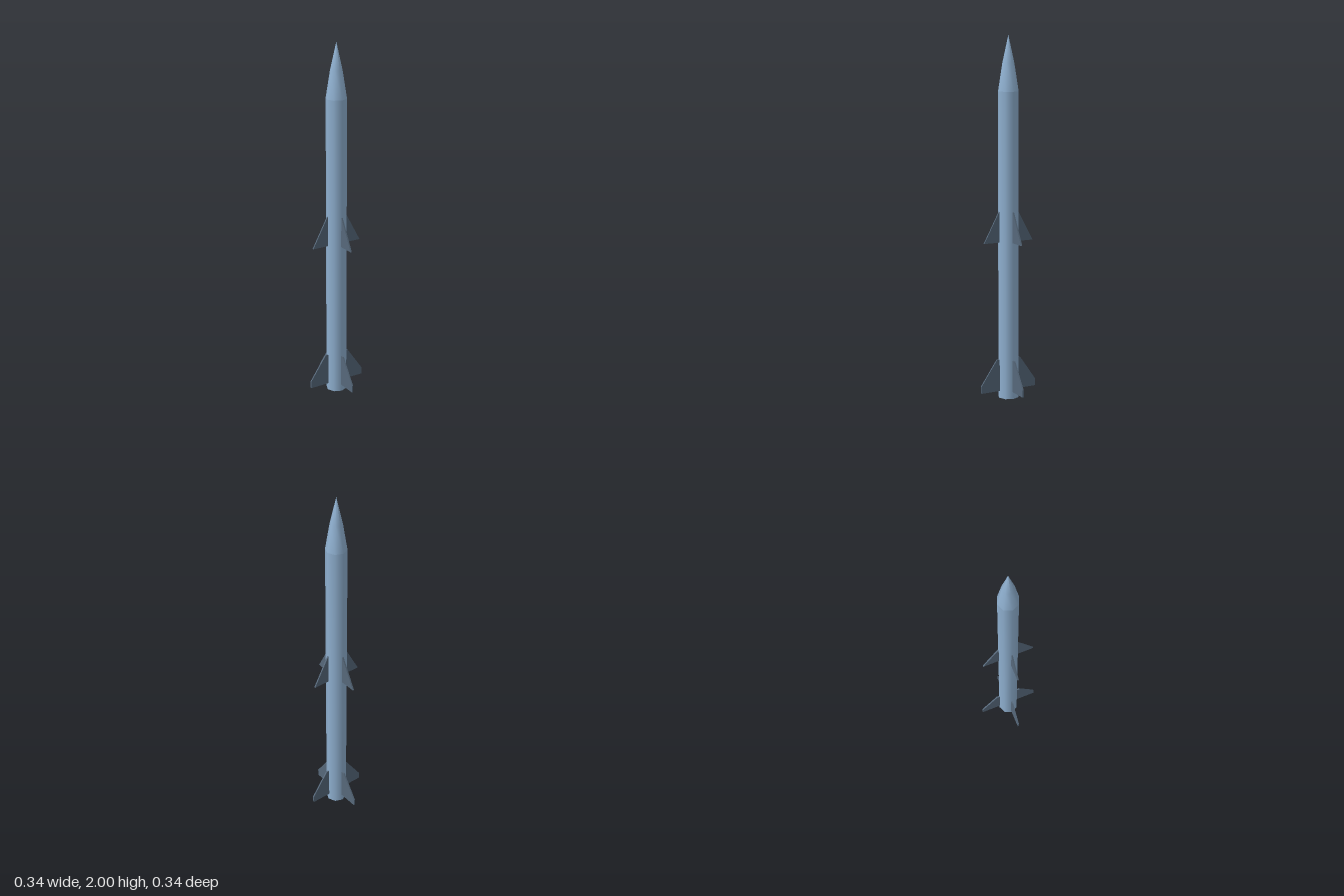
import * as THREE from 'three';

const R = 0.058, SIDES = 8, THICK = 0.008;

export function createModel() {
  const rocket = new THREE.Group();
  rocket.name = 'rocket';
  const bodyMat = new THREE.MeshStandardMaterial({ color: 0x8fb0d0 });
  const finMat = new THREE.MeshStandardMaterial({ color: 0x56687a });

  const add = (name, geometry, material, parent = rocket) => {
    const mesh = new THREE.Mesh(geometry, material);
    mesh.name = name;
    parent.add(mesh);
    return mesh;
  };

  // Eight-sided body tube, smooth around its sides
  add('bodyTube', new THREE.CylinderGeometry(R, R, 1.7, SIDES, 1, true), bodyMat).position.y = 0.85;

  // Closed tail end
  add('tailCap', new THREE.CircleGeometry(R, SIDES), finMat).rotation.x = Math.PI / 2;

  // Nose cone with a slight bulge
  const noseProfile = [[R, 1.7], [0.034, 1.85], [0, 2]].map(([x, y]) => new THREE.Vector2(x, y));
  add('noseCone', new THREE.LatheGeometry(noseProfile, SIDES), bodyMat);

  // Four flat fins around the body, cut from an outline of radius and height
  const addFins = (name, outline) => {
    const shape = new THREE.Shape(outline.map(([x, y]) => new THREE.Vector2(x, y)));
    const geometry = new THREE.ExtrudeGeometry(shape, { depth: THICK, bevelEnabled: false });
    geometry.translate(0, 0, -THICK / 2);
    const group = new THREE.Group();
    group.name = name + 's';
    for (let i = 0; i < 4; i++) add(name, geometry, finMat, group).rotation.y = (i * Math.PI) / 2;
    rocket.add(group);
  };

  // Triangular mid fins and clipped tail fins, rooted just inside the tube
  addFins('midFin', [[0.05, 0.88], [0.15, 0.88], [0.058, 1.05], [0.05, 1.05]]);
  addFins('tailFin', [[0.05, 0.04], [0.17, 0.04], [0.17, 0.08], [0.073, 0.22], [0.05, 0.22]]);

  return rocket;
}
